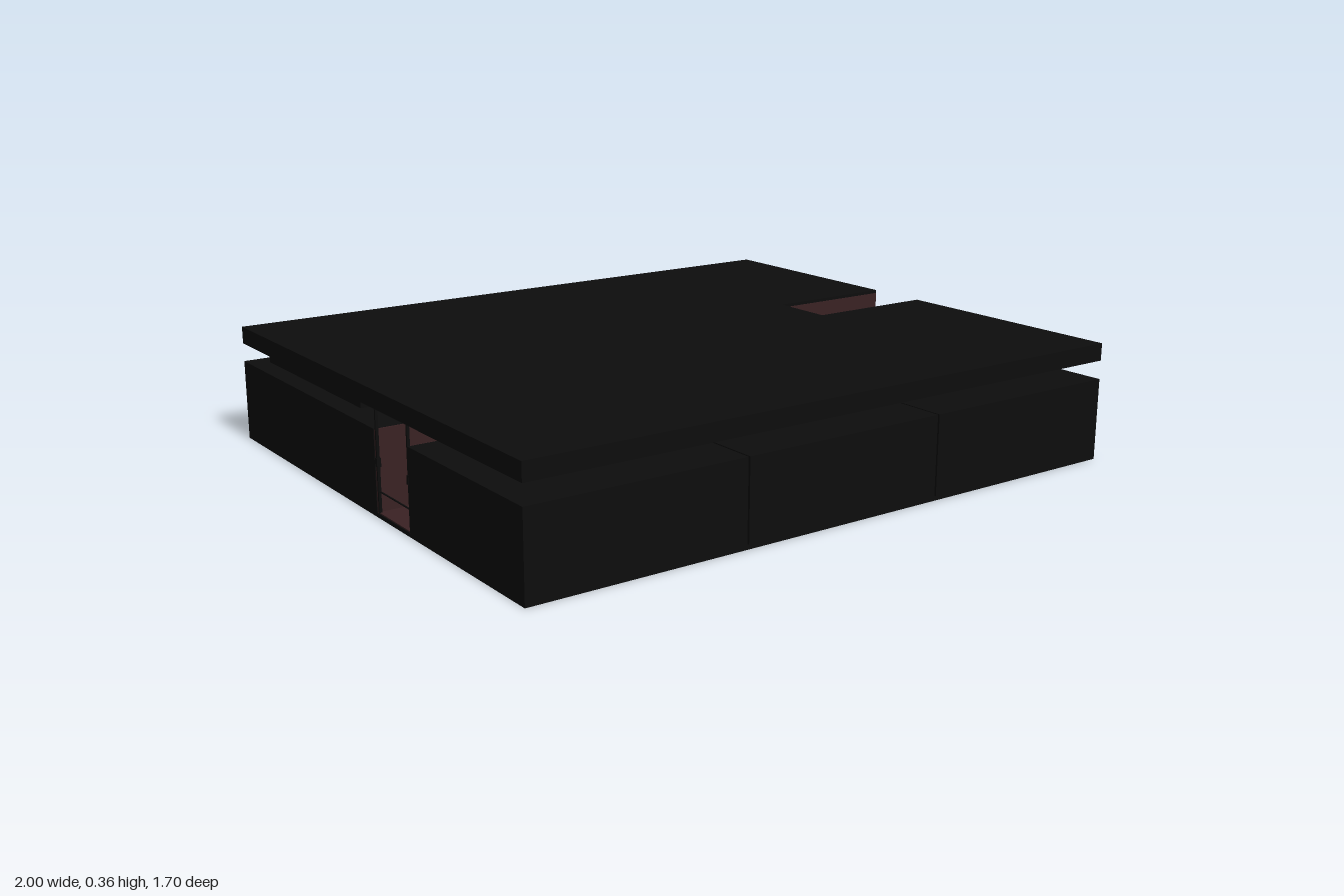
import * as THREE from 'three';

export function createModel() {
  const model = new THREE.Group();
  const mat = (name, color) => {
    const m = new THREE.MeshStandardMaterial({ color });
    m.name = name;
    return m;
  };
  const black = mat('black cladding', 0x0d0d0d);
  const brown = mat('dark brown lining', 0x3a2224);
  const tan = mat('light brown panel', 0xb88c7d);

  // Box given by its lower and upper corners
  const box = (name, material, x0, x1, y0, y1, z0, z1) => {
    const mesh = new THREE.Mesh(new THREE.BoxGeometry(x1 - x0, y1 - y0, z1 - z0), material);
    mesh.position.set((x0 + x1) / 2, (y0 + y1) / 2, (z0 + z1) / 2);
    mesh.name = name;
    model.add(mesh);
    return mesh;
  };

  // Horizontal slab with the rectangular notch in its left side
  const slab = (name, y0, y1) => {
    const outline = [[-1, -0.85], [1, -0.85], [1, -0.07], [0.58, -0.07],
      [0.58, 0.13], [1, 0.13], [1, 0.85], [-1, 0.85]];
    const shape = new THREE.Shape(outline.map(([x, y]) => new THREE.Vector2(x, y)));
    const geo = new THREE.ExtrudeGeometry(shape, { depth: y1 - y0, bevelEnabled: false });
    geo.rotateX(-Math.PI / 2);
    const mesh = new THREE.Mesh(geo, black);
    mesh.position.y = y0;
    mesh.name = name;
    model.add(mesh);
  };
  slab('floor', 0, 0.012);
  slab('roof', 0.307, 0.36);

  // Front row of three low units, lined on the passage side
  const s = 0.003;
  const bays = [[-1, -0.336], [-0.336, 0.33], [0.33, 1]];
  for (const [a, b] of bays) {
    box('frontUnit', black, a + (a > -1 ? s : 0), b - (b < 1 ? s : 0), 0.005, 0.25, 0.27, 0.85);
  }
  box('frontUnitCore', black, -0.99, 0.99, 0.005, 0.247, 0.28, 0.84);
  box('frontPassageLining', brown, -0.998, 0.998, 0.012, 0.249, 0.265, 0.27);

  // Back row: two low units and one tall unit beside the notch
  box('backUnit', black, -1, -0.336 - s, 0.005, 0.25, -0.85, 0.07);
  box('backUnit', black, -0.336 + s, 0.33 - s, 0.005, 0.25, -0.85, 0.07);
  box('backUnitCore', black, -0.99, 0.575, 0.005, 0.247, -0.84 + 0.01, -0.13);
  box('backUnitExtension', black, 0.32, 0.575, 0.005, 0.25, -0.13, 0.07);
  box('tallUnit', black, 0.33 + s, 1, 0.005, 0.308, -0.85, -0.135);
  box('backPassageLining', brown, -0.998, 0.575, 0.012, 0.249, 0.07, 0.076);

  // Notch walls
  box('notchSideLining', brown, 0.581, 0.998, 0.003, 0.35, -0.135, -0.128);
  box('notchEndPanel', tan, 0.575, 0.582, 0.003, 0.25, -0.128, 0.07);

  // Recessed wall carrying the roof
  box('recessedWall', black, -0.94, 0.34, 0.25, 0.308, -0.79, -0.135);

  // Passage floor and the slim frames at both ends
  box('passageFloor', brown, -0.998, 0.998, 0.012, 0.015, 0.075, 0.266);
  for (const side of [-1, 1]) {
    const x = side * 0.995;
    for (const z of [0.08, 0.265]) {
      box('framePost', black, x - 0.004, x + 0.004, 0.012, 0.308, z - 0.003, z + 0.003);
      box('handle', black, x - 0.006, x + 0.006, 0.145, 0.17, z - 0.006, z + 0.006);
    }
    box('frameRail', black, x - 0.002, x + 0.002, 0.074, 0.077, 0.08, 0.265);
  }

  // Small plate hanging across the passage
  box('smallPlate', tan, 0.69, 0.73, 0.195, 0.205, 0.145, 0.2);
  return model;
}
